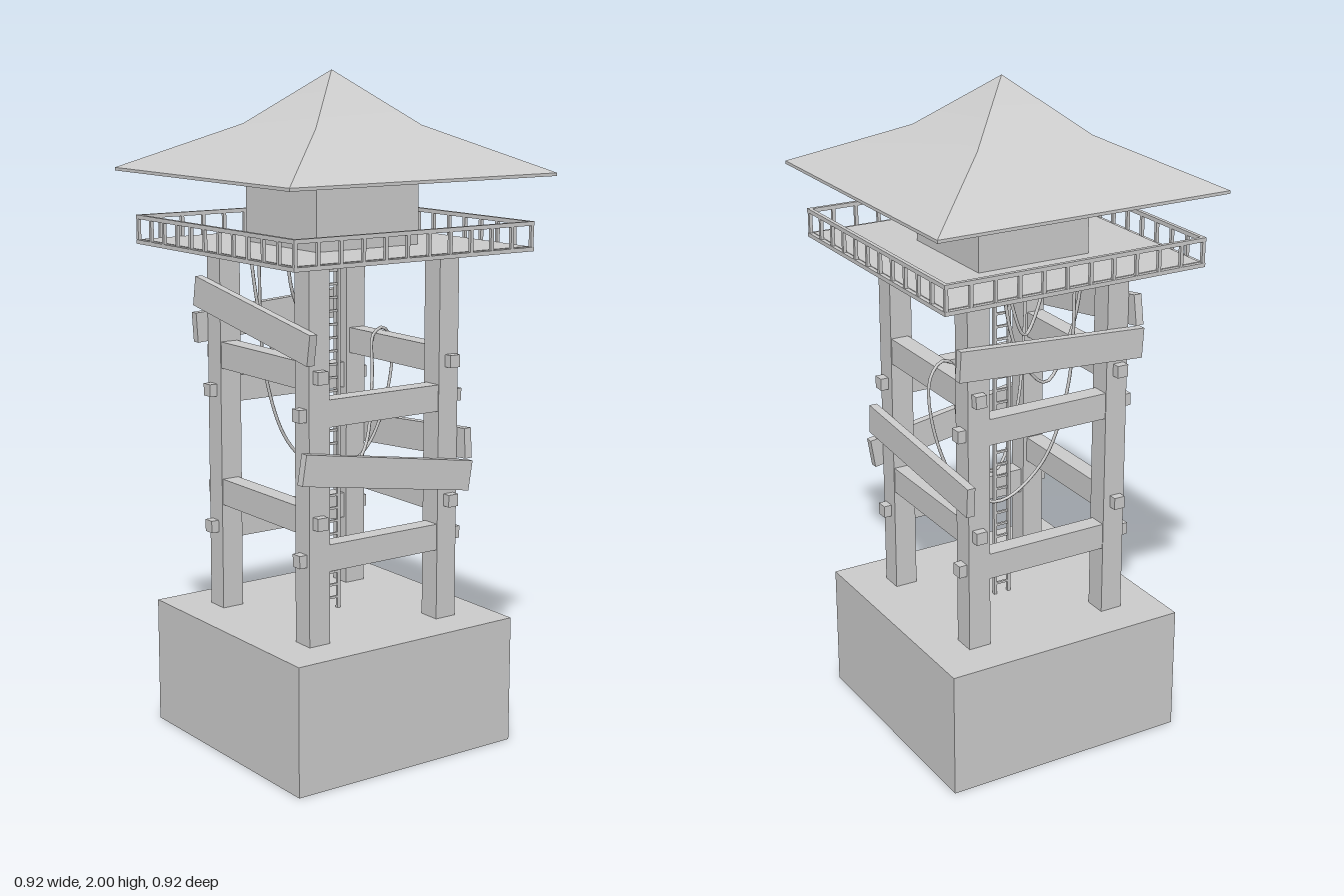
import * as THREE from 'three';

const grey = new THREE.MeshStandardMaterial({ color: 0xcccccc });
const greyDouble = new THREE.MeshStandardMaterial({ color: 0xcccccc, side: THREE.DoubleSide });

function box(parent, name, [w, h, d], [x, y, z]) {
  const mesh = new THREE.Mesh(new THREE.BoxGeometry(w, h, d), grey);
  mesh.name = name;
  mesh.position.set(x, y, z);
  parent.add(mesh);
  return mesh;
}

function group(parent, name, turn = 0) {
  const g = new THREE.Group();
  g.name = name;
  g.rotation.y = turn;
  parent.add(g);
  return g;
}

// One side of a square roof: rows [half width, height], smooth along the slope
function roofSide(rows) {
  const pos = [], index = [];
  rows.forEach(([r, y], i) => {
    pos.push(-r, y, r, r, y, r);
    if (i > 0) {
      const a = 2 * i - 2;
      index.push(a, a + 1, a + 3, a, a + 3, a + 2);
    }
  });
  const geo = new THREE.BufferGeometry();
  geo.setAttribute('position', new THREE.Float32BufferAttribute(pos, 3));
  geo.setIndex(index);
  geo.computeVertexNormals();
  return geo;
}

function rope(parent, points) {
  const curve = new THREE.CatmullRomCurve3(points.map((p) => new THREE.Vector3(...p)));
  const mesh = new THREE.Mesh(new THREE.TubeGeometry(curve, points.length * 8, 0.005, 6), grey);
  mesh.name = 'rope';
  parent.add(mesh);
}

// A board nailed across the outside of two legs, from left height to right height
function brace(parent, turn, yLeft, yRight) {
  const g = group(parent, 'brace', turn);
  const board = box(g, 'braceBoard', [0.605, 0.09, 0.025], [0, (yLeft + yRight) / 2, 0.278]);
  board.rotation.z = Math.atan2(yRight - yLeft, 0.595);
}

export function createModel() {
  const tower = new THREE.Group();
  tower.name = 'watchtower';
  const quarter = Math.PI / 2;

  // Base block and legs
  box(tower, 'base', [0.77, 0.385, 0.77], [0, 0.1925, 0]);
  for (const x of [-0.23, 0.23]) {
    for (const z of [-0.23, 0.23]) box(tower, 'leg', [0.07, 1.115, 0.07], [x, 0.9375, z]);
  }

  // Cross beams with tenon ends that poke out through the legs
  const beams = [[0, [0.638, 1.058]], [quarter, [0.749, 1.167]]];
  for (const [turn, heights] of beams) {
    const frame = group(tower, 'beamFrame', turn);
    for (const y of heights) {
      for (const z of [-0.235, 0.235]) {
        box(frame, 'beam', [0.42, 0.079, 0.055], [0, y, z]);
        box(frame, 'tenon', [0.58, 0.037, 0.035], [0, y, z]);
      }
    }
  }

  // Crooked bracing boards, one per side
  brace(tower, 0, 0.913, 0.817);
  brace(tower, quarter, 0.92, 0.876);
  brace(tower, 2 * quarter, 1.282, 1.243);
  brace(tower, 3 * quarter, 1.35, 1.25);

  // Platform and railing
  box(tower, 'platform', [0.81, 0.014, 0.81], [0, 1.495, 0]);
  const panels = 11, reach = 0.411;
  for (let side = 0; side < 4; side++) {
    const railing = group(tower, 'railing', side * quarter);
    box(railing, 'topRail', [2 * reach + 0.012, 0.012, 0.012], [0, 1.568, reach]);
    box(railing, 'bottomRail', [2 * reach + 0.012, 0.012, 0.012], [0, 1.494, reach]);
    for (let i = 0; i < panels; i++) {
      box(railing, 'railPost', [0.01, 0.07, 0.01], [-reach + (2 * reach * i) / panels, 1.53, reach]);
    }
  }

  // Cabin
  box(tower, 'cabin', [0.36, 0.325, 0.36], [0, 1.6625, 0]);

  // Flared roof: outer skin, rim and underside
  const sheets = {
    roofSkin: [[0.46, 1.713], [0.185, 1.845], [0, 2]],
    roofRim: [[0.46, 1.704], [0.46, 1.713]],
    roofUnderside: [[0, 1.985], [0.185, 1.833], [0.46, 1.704]],
  };
  for (const [name, rows] of Object.entries(sheets)) {
    const geo = roofSide(rows);
    for (let side = 0; side < 4; side++) {
      const mesh = new THREE.Mesh(geo, greyDouble);
      mesh.name = name;
      mesh.rotation.y = side * quarter;
      tower.add(mesh);
    }
  }

  // Ladder up the middle
  const ladder = group(tower, 'ladder');
  for (const x of [-0.024, 0.024]) box(ladder, 'ladderRail', [0.01, 1.105, 0.01], [x, 0.9375, 0]);
  for (let y = 0.42; y < 1.48; y += 0.04) box(ladder, 'rung', [0.048, 0.007, 0.007], [0, y, 0]);

  // Ropes slung below the platform, the long one looped over a beam
  const ropes = group(tower, 'ropes');
  rope(ropes, [[-0.19, 1.49, -0.15], [-0.155, 1.27, -0.14], [-0.07, 1.115, -0.135],
    [0.03, 1.23, -0.14], [0.09, 1.49, -0.14]]);
  rope(ropes, [[-0.12, 1.49, -0.06], [-0.09, 1.35, -0.07], [-0.025, 1.255, -0.09],
    [0.02, 1.36, -0.09], [0.035, 1.49, -0.08]]);
  rope(ropes, [[-0.145, 1.49, 0.105], [-0.135, 1.2, 0.095], [-0.09, 0.95, 0.065],
    [0.0, 0.785, 0.035], [0.11, 0.87, 0.015], [0.18, 1.08, -0.04], [0.2, 1.2, -0.065],
    [0.245, 1.22, -0.075], [0.288, 1.17, -0.085], [0.27, 0.98, -0.095], [0.2, 0.83, -0.11],
    [0.09, 0.77, -0.135], [-0.04, 0.87, -0.16], [-0.12, 1.1, -0.175], [-0.145, 1.49, -0.17]]);

  return tower;
}
